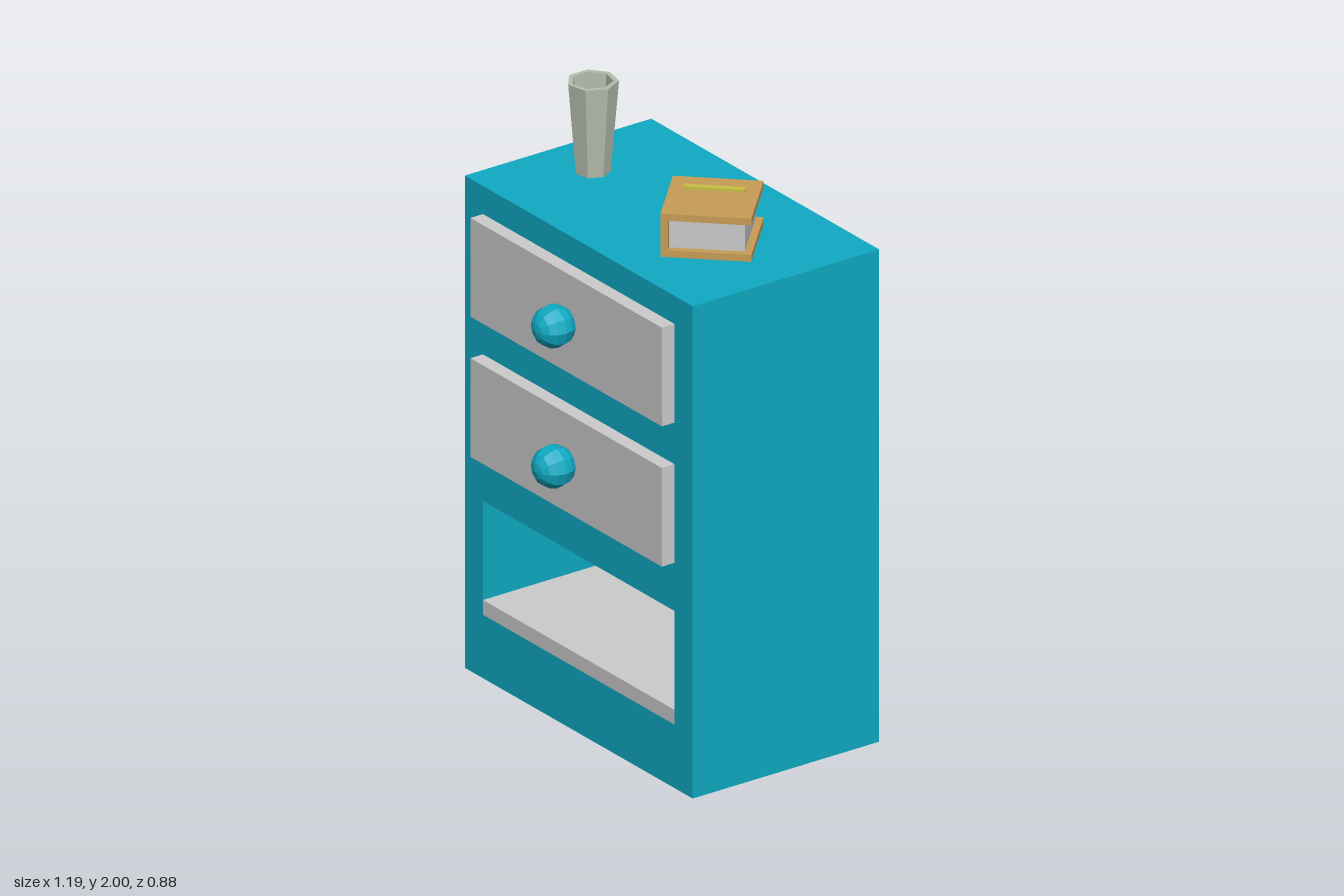
import * as THREE from 'three';

const mat = (color, extra = {}) => new THREE.MeshStandardMaterial({ color, flatShading: true, ...extra });
const GREY = mat(0xcccccc);
const TEAL = mat(0x0faac3);
const BROWN = mat(0xc89d57);
const GOLD = mat(0xc8c044);
const CLAY = mat(0xb5beac, { side: THREE.DoubleSide });

function add(parent, name, geometry, material, x = 0, y = 0, z = 0) {
  const mesh = new THREE.Mesh(geometry, material);
  mesh.name = name;
  mesh.position.set(x, y, z);
  parent.add(mesh);
  return mesh;
}

function group(parent, name) {
  const g = new THREE.Group();
  g.name = name;
  parent.add(g);
  return g;
}

// Box without its +z face
function openBox(w, h, d) {
  const g = new THREE.BoxGeometry(w, h, d);
  const index = Array.from(g.index.array);
  index.splice(24, 6);
  g.setIndex(index);
  g.clearGroups();
  return g;
}

function rect(path, x0, y0, x1, y1) {
  return path.moveTo(x0, y0).lineTo(x1, y0).lineTo(x1, y1).lineTo(x0, y1).closePath();
}

function buildCabinet(root) {
  const cabinet = group(root, 'cabinet');
  const W = 1.19, H = 1.667, front = 0.272, back = -0.438;
  const depth = front - back;
  add(cabinet, 'cabinetShell', openBox(W, H, depth), TEAL, 0, H / 2, (front + back) / 2);

  // Front face with the opening of the niche
  const face = rect(new THREE.Shape(), -W / 2, 0, W / 2, H);
  const n = { x: 0.5, y0: 0.215, y1: 0.6, d: 0.67 };
  face.holes.push(rect(new THREE.Path(), -n.x, n.y0, n.x, n.y1));
  add(cabinet, 'cabinetFront', new THREE.ShapeGeometry(face), TEAL, 0, 0, front);

  // Inner walls of the niche, seen from inside
  add(cabinet, 'nicheLining', openBox(2 * n.x, n.y1 - n.y0, n.d),
    mat(0x0faac3, { side: THREE.BackSide }), 0, (n.y0 + n.y1) / 2, front - n.d / 2);
  add(cabinet, 'nicheShelf', new THREE.BoxGeometry(2 * n.x, 0.05, n.d), GREY,
    0, n.y0 + 0.025, front - n.d / 2);
}

function buildDrawers(root) {
  for (const [name, y] of [['upperDrawer', 1.405], ['lowerDrawer', 0.93]]) {
    const drawer = group(root, name);
    drawer.position.y = y;
    add(drawer, 'drawerFront', new THREE.BoxGeometry(1, 0.334, 0.05), GREY, 0, 0, 0.295);
    // Knob with its pole facing forward
    const ball = new THREE.SphereGeometry(0.07, 10, 8).rotateX(Math.PI / 2);
    add(drawer, 'knob', ball, TEAL, 0, 0, 0.368);
  }
}

function buildBook(root) {
  const book = group(root, 'book');
  const S = 0.282, H = 0.146, t = 0.023;
  book.position.set(0.238, 1.667, -0.062);
  book.rotation.y = 0.805;
  // Spine and both covers as one C-shaped profile
  const c = new THREE.Shape();
  const a = S / 2;
  [[-a, 0], [a, 0], [a, t], [-a + t, t], [-a + t, H - t], [a, H - t], [a, H], [-a, H]]
    .forEach(([x, y], i) => (i ? c.lineTo(x, y) : c.moveTo(x, y)));
  c.closePath();
  const cover = new THREE.ExtrudeGeometry(c, { depth: S, bevelEnabled: false });
  add(book, 'bookCover', cover, BROWN, 0, 0, -a);
  add(book, 'bookPages', new THREE.BoxGeometry(S - 2 * t, H - 2 * t, S - 2 * t), GREY, 0, H / 2, 0);
  add(book, 'coverStrip', new THREE.BoxGeometry(0.193, 0.012, 0.022), GOLD, 0, H + 0.003, -0.058);
}

function buildVase(root) {
  const vase = group(root, 'vase');
  vase.position.set(-0.345, 1.693, -0.032);
  // Seven-sided wall: outside, rim, inside
  const profile = [[0.056, 0], [0.0815, 0.307], [0.065, 0.307], [0.045, 0.004], [0.056, 0]]
    .map(([r, y]) => new THREE.Vector2(r, y));
  add(vase, 'vaseWall', new THREE.LatheGeometry(profile, 7, Math.PI / 2), CLAY);
  add(vase, 'vaseBottom', new THREE.CylinderGeometry(0.046, 0.046, 0.01, 24), CLAY, 0, 0.009, 0);
}

export function createModel() {
  const root = new THREE.Group();
  root.name = 'nightstand';
  buildCabinet(root);
  buildDrawers(root);
  buildBook(root);
  buildVase(root);
  return root;
}
